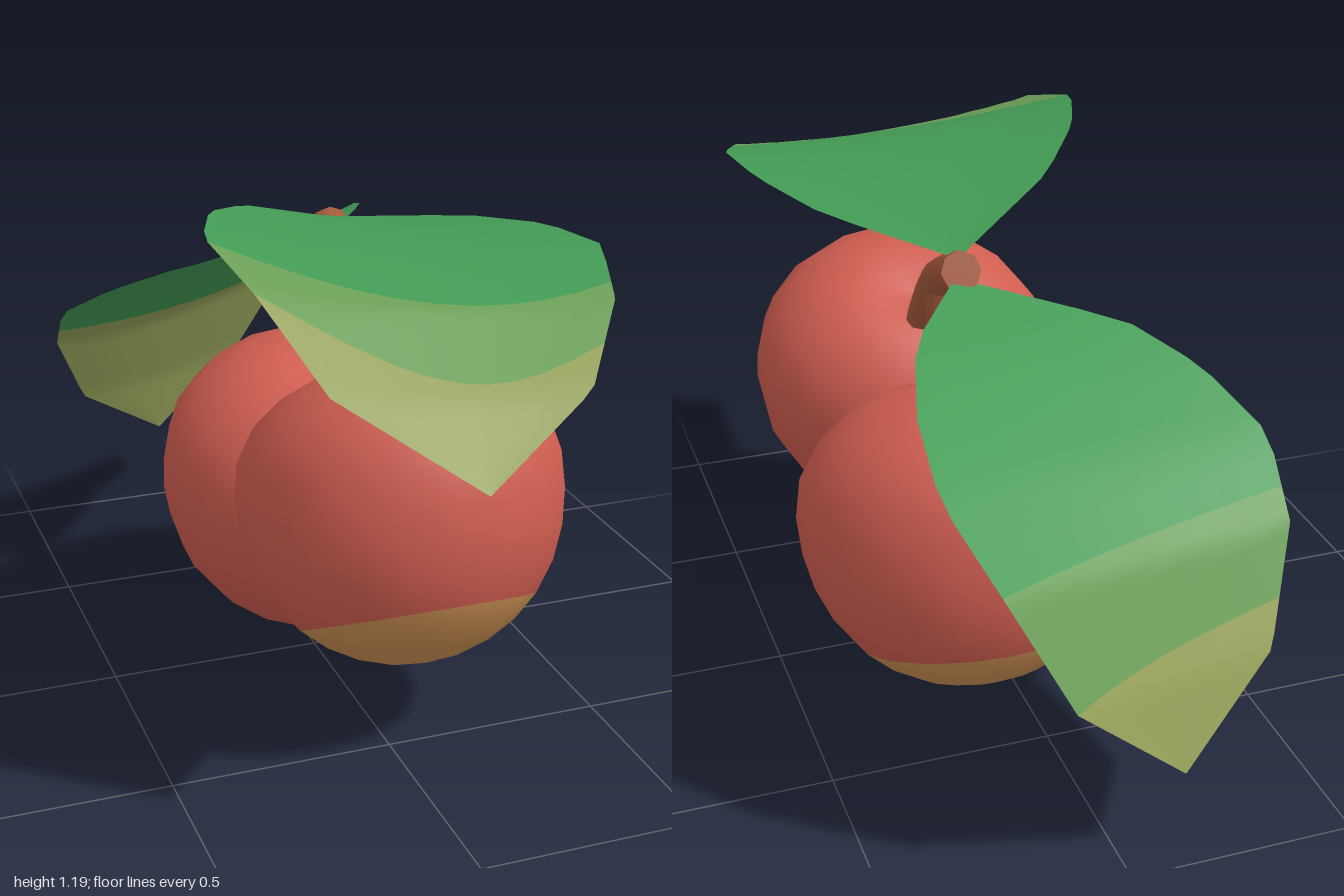
import * as THREE from 'three';

const mat = (name, color) => {
  const m = new THREE.MeshStandardMaterial({ color });
  m.name = name;
  return m;
};

// Fruit: a heart-like lathe with full shoulders, a stem dimple and a paler blush patch at its base
function makeFruit(name, centre, radii, tilt, skin, blush) {
  const rows = 14, patchRows = 4, sides = 18, split = 0.84;
  const profile = [];
  for (let i = 0; i <= rows; i++) {
    const angle = i <= patchRows
      ? split * i / patchRows
      : split + (Math.PI - split) * (i - patchRows) / (rows - patchRows);
    const fromStem = 180 - THREE.MathUtils.radToDeg(angle);
    const r = 1.005 + 0.08 * Math.exp(-(((fromStem - 62) / 25) ** 2)) - 0.15 * Math.exp(-((fromStem / 18) ** 2));
    profile.push(new THREE.Vector2(Math.max(0, r * Math.sin(angle)), -r * Math.cos(angle)));
  }
  const g = new THREE.LatheGeometry(profile, sides);
  for (let s = 0; s < sides; s++) {
    g.addGroup(s * rows * 6, patchRows * 6, 0);
    g.addGroup((s * rows + patchRows) * 6, (rows - patchRows) * 6, 1);
  }
  g.rotateX(tilt).scale(...radii).translate(...centre);
  const mesh = new THREE.Mesh(g, [blush, skin]);
  mesh.name = name;
  return mesh;
}

// Stem: a tube that tapers from r0 to r1, with a flat cut at its start
function makeStem(name, points, r0, r1, material) {
  const curve = new THREE.CatmullRomCurve3(points.map(p => new THREE.Vector3(...p)));
  const n = 10, sides = 8;
  const g = new THREE.TubeGeometry(curve, n, 1, sides);
  const pos = g.attributes.position, v = new THREE.Vector3();
  for (let i = 0; i < pos.count; i++) {
    const t = Math.floor(i / (sides + 1)) / n;
    const c = curve.getPointAt(t);
    v.fromBufferAttribute(pos, i).sub(c).multiplyScalar(r0 + (r1 - r0) * t).add(c);
    pos.setXYZ(i, v.x, v.y, v.z);
  }
  const group = new THREE.Group();
  group.name = name;
  const tube = new THREE.Mesh(g, material);
  tube.name = 'stemTube';
  const cut = new THREE.Mesh(new THREE.CircleGeometry(r0, sides), material);
  cut.name = 'stemCut';
  cut.position.copy(curve.getPointAt(0));
  cut.lookAt(cut.position.clone().sub(curve.getTangentAt(0)));
  group.add(tube, cut);
  return group;
}

// Point on a polyline edge at row t
function edgePoint(edge, t) {
  const i = Math.min(Math.floor(t), edge.length - 2);
  return new THREE.Vector3(...edge[i]).lerp(new THREE.Vector3(...edge[i + 1]), t - i);
}

// Curve through three values at u = 0, 0.5 and 1
const arc = ([p, q, r], u) => p * (1 - u) * (1 - 2 * u) + q * 4 * u * (1 - u) + r * u * (2 * u - 1);

// One face of a leaf: spans two edges, dips by sag in the middle, split along its length into bands
function makeLeafSide(name, a, b, sag, limits, materials, flip) {
  const across = 10, steps = 10, end = a.length - 1;
  const verts = [], index = [];
  for (let row = 0; row <= steps * 3; row++) {
    for (let k = 0; k <= across; k++) {
      const u = k / across;
      const cuts = [0, arc(limits[0], u), arc(limits[1], u), end];
      const band = Math.min(2, Math.floor(row / steps));
      const t = THREE.MathUtils.lerp(cuts[band], cuts[band + 1], row / steps - band);
      const dip = 4 * u * (1 - u) * Math.sin(Math.PI * t / end);
      verts.push(...edgePoint(a, t).lerp(edgePoint(b, t), u).addScaledVector(sag, dip).toArray());
    }
  }
  for (let row = 0; row < steps * 3; row++) {
    for (let k = 0; k < across; k++) {
      const p = row * (across + 1) + k, q = p + across + 1;
      if (flip) index.push(p, p + 1, q, p + 1, q + 1, q);
      else index.push(p, q, p + 1, p + 1, q, q + 1);
    }
  }
  const g = new THREE.BufferGeometry();
  g.setAttribute('position', new THREE.Float32BufferAttribute(verts, 3));
  g.setIndex(index);
  const count = steps * across * 6;
  for (let i = 0; i < 3; i++) g.addGroup(i * count, count, i);
  g.computeVertexNormals();
  const mesh = new THREE.Mesh(g, materials);
  mesh.name = name;
  return mesh;
}

// Leaf: upper face with three bands, slightly deeper underside with two
function makeLeaf(name, base, tip, sideA, sideB, sag, limits, [green, light, olive]) {
  const a = [base, ...sideA, tip], b = [base, ...sideB, tip];
  const dip = new THREE.Vector3(...sag);
  const group = new THREE.Group();
  group.name = name;
  group.add(
    makeLeafSide('leafTop', a, b, dip, limits, [green, light, olive], false),
    makeLeafSide('leafUnderside', a, b, dip.clone().multiplyScalar(1.35), limits, [green, olive, olive], true),
  );
  return group;
}

export function createModel() {
  const skin = mat('red skin', 0xcf5d50);
  const blush = mat('tan blush', 0xcb8f52);
  const bark = mat('brown stem', 0xa5593c);
  const leafColours = [
    mat('leaf green', 0x439a54),
    mat('leaf light green', 0x6b9f58),
    mat('leaf olive', 0x96a25a),
  ];
  const model = new THREE.Group();
  model.name = 'fruitPair';

  // Two fruits, each leaning so the blush patch faces outwards and down
  model.add(
    makeFruit('frontFruit', [0.07, 0.522, 0.385], [0.354, 0.345, 0.325], -0.467, skin, blush),
    makeFruit('backFruit', [0.072, 0.372, -0.153], [0.38, 0.37, 0.353], 0.315, skin, blush),
  );

  // Forked stem
  model.add(
    makeStem('mainStem', [[0.09, 1.02, -0.163], [0.09, 0.965, -0.04], [0.085, 0.87, 0.08], [0.08, 0.7, 0.23]], 0.046, 0.032, bark),
    makeStem('sideStem', [[0.09, 0.93, 0.01], [0.085, 0.83, 0.025], [0.08, 0.75, 0.015], [0.075, 0.64, -0.03]], 0.03, 0.028, bark),
  );

  // Leaves, one arching forwards and one drooping backwards
  model.add(
    makeLeaf('frontLeaf', [0.09, 1.04, -0.14], [-0.01, 0.82, 1],
      [[-0.18, 1.14, 0.04], [-0.31, 1.185, 0.22], [-0.38, 1.19, 0.41], [-0.34, 1.13, 0.61], [-0.26, 0.98, 0.82]],
      [[0.33, 1.085, 0.1], [0.43, 1.11, 0.3], [0.465, 1.113, 0.49], [0.4, 1.06, 0.68], [0.26, 0.95, 0.87]],
      [0, -0.032, 0], [[3.1, 3.9, 3.7], [4, 4.8, 4.5]], leafColours),
    makeLeaf('backLeaf', [0.1, 1, -0.15], [-0.12, 0.22, -0.975],
      [[0.27, 0.985, -0.41], [0.33, 0.925, -0.62], [0.34, 0.84, -0.8], [0.26, 0.69, -0.93], [0.13, 0.44, -1]],
      [[-0.25, 0.905, -0.28], [-0.38, 0.83, -0.4], [-0.47, 0.73, -0.56], [-0.455, 0.6, -0.71], [-0.36, 0.39, -0.85]],
      [0.008, -0.02, 0.018], [[4, 3.75, 3.6], [5, 4.75, 4.6]], leafColours),
  );
  return model;
}
